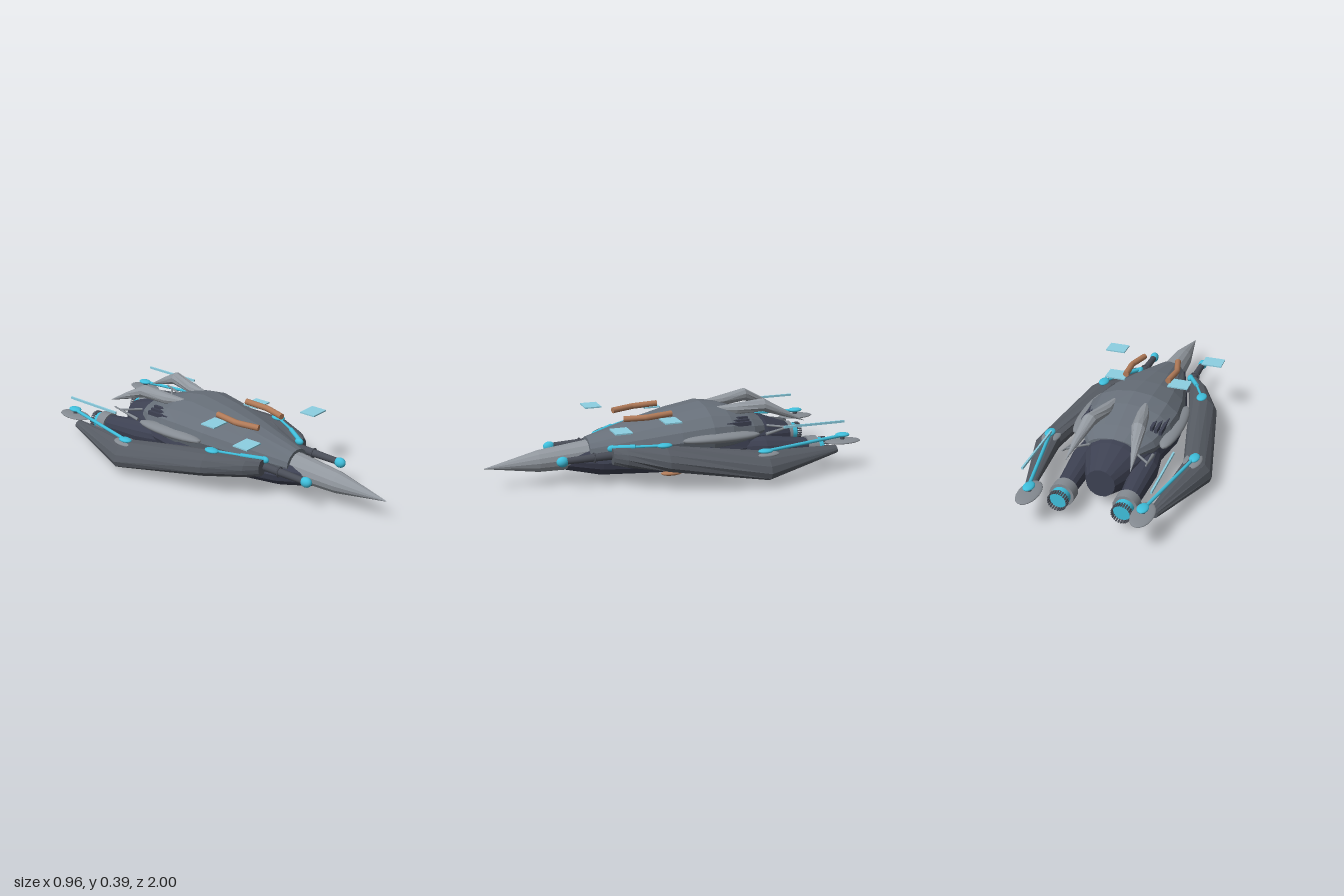
import * as THREE from 'three';

const mat = (color, flatShading = true) => new THREE.MeshStandardMaterial({ color, flatShading, roughness: 0.7 });
const shell = mat(0x68707a), dark = mat(0x3d4152), armour = mat(0x565b63), light = mat(0x92989f);
const smoothGrey = mat(0x858b92, false), gunMetal = mat(0x4a4e58, false);
const cyan = mat(0x3fbfdc, false), glass = mat(0x8ccfe2), copper = mat(0xb07a58, false);

// Skin over elliptical sections [x, y, z, rx, ry, tilt], listed from front to back
function loft(sections, n, side = 1) {
  const pos = [], index = [], rows = sections.length;
  for (const [x, y, z, rx, ry, tilt = 0] of sections) {
    const c = Math.cos(tilt * side), s = Math.sin(tilt * side);
    for (let j = 0; j < n; j++) {
      const a = (j / n) * Math.PI * 2, u = rx * Math.cos(a), v = ry * Math.sin(a);
      pos.push(x * side + u * c - v * s, y + u * s + v * c, z);
    }
  }
  for (const k of [0, rows - 1]) pos.push(sections[k][0] * side, sections[k][1], sections[k][2]);
  for (let j = 0; j < n; j++) {
    const k = (j + 1) % n, last = (rows - 1) * n;
    for (let i = 0; i < rows - 1; i++) {
      const a = i * n + j, b = i * n + k;
      index.push(a, a + n, b, b, a + n, b + n);
    }
    index.push(rows * n, j, k, rows * n + 1, last + k, last + j);
  }
  const g = new THREE.BufferGeometry();
  g.setAttribute('position', new THREE.Float32BufferAttribute(pos, 3));
  g.setIndex(index);
  g.computeVertexNormals();
  return g;
}

// Section of the centre body, given by its bottom and top heights
const band = (z, rx, bottom, top) => [0, (bottom + top) / 2, z, rx, (top - bottom) / 2];

export function createModel() {
  const model = new THREE.Group();
  const add = (name, geometry, material, x = 0, y = 0, z = 0) => {
    const m = new THREE.Mesh(geometry, material);
    m.name = name;
    m.position.set(x, y, z);
    model.add(m);
    return m;
  };
  const pod = (name, material, p, r) =>
    add(name, new THREE.SphereGeometry(1, 20, 12), material, ...p).scale.set(...r);
  const rod = (name, material, a, b, r, r2 = r, n = 12) => {
    const from = new THREE.Vector3(...a), to = new THREE.Vector3(...b), d = to.clone().sub(from);
    const m = add(name, new THREE.CylinderGeometry(r2, r, d.length(), n), material);
    m.position.copy(from).add(to).multiplyScalar(0.5);
    m.quaternion.setFromUnitVectors(new THREE.Vector3(0, 1, 0), d.normalize());
    return m;
  };

  // Centre body
  add('noseCone', loft([
    [0, 0.115, 1, 0.001, 0.001], [0, 0.128, 0.72, 0.054, 0.057], [0, 0.142, 0.44, 0.073, 0.076],
  ], 14), light);
  add('lowerHull', loft([
    band(0.58, 0.055, 0.068, 0.175), band(0.4, 0.12, 0.026, 0.2), band(0.1, 0.205, 0.013, 0.235),
    band(-0.15, 0.245, 0.006, 0.28), band(-0.38, 0.205, 0.002, 0.29), band(-0.53, 0.15, 0, 0.27),
    band(-0.69, 0.075, 0.06, 0.21),
  ], 16), dark);
  add('upperShell', loft([
    band(0.46, 0.085, 0.09, 0.232), band(0.2, 0.17, 0.08, 0.302), band(0, 0.225, 0.08, 0.347),
    band(-0.17, 0.25, 0.08, 0.374), band(-0.28, 0.24, 0.1, 0.358), band(-0.42, 0.195, 0.13, 0.31),
    band(-0.5, 0.14, 0.16, 0.275),
  ], 16), shell);

  for (const s of [1, -1]) {
    // Bent outrigger arm with its joint discs
    add('sideArm', loft([
      [0.175, 0.165, 0.37, 0.03, 0.045], [0.21, 0.163, 0.31, 0.052, 0.052],
      [0.29, 0.162, 0.12, 0.082, 0.06, -0.4], [0.405, 0.106, -0.39, 0.085, 0.057, -0.7],
      [0.315, 0.125, -0.84, 0.025, 0.018, -0.4],
    ], 12, s), armour);
    pod('tailDisc', smoothGrey, [0.285 * s, 0.155, -0.895], [0.056, 0.011, 0.105]);
    pod('elbowDisc', smoothGrey, [0.38 * s, 0.16, -0.39], [0.047, 0.014, 0.082]);
    pod('armLens', smoothGrey, [0.312 * s, 0.197, 0.03], [0.022, 0.007, 0.035]);
    pod('tailLight', cyan, [0.285 * s, 0.19, -0.893], [0.028, 0.012, 0.041]);
    pod('elbowLight', cyan, [0.388 * s, 0.178, -0.39], [0.026, 0.012, 0.041]);
    pod('shoulderLight', cyan, [0.28 * s, 0.229, 0.125], [0.027, 0.012, 0.041]);
    rod('tailLightStem', gunMetal, [0.285 * s, 0.155, -0.893], [0.285 * s, 0.19, -0.893], 0.012);
    rod('armEnergyLine', cyan, [0.386 * s, 0.176, -0.39], [0.288 * s, 0.187, -0.89], 0.009);

    // Nose gun and its energy feed
    rod('gunBarrel', gunMetal, [0.148 * s, 0.165, 0.3], [0.148 * s, 0.158, 0.61], 0.024, 0.017);
    add('gunRing', new THREE.TorusGeometry(0.024, 0.004, 6, 20), gunMetal, 0.148 * s, 0.161, 0.46);
    pod('gunTip', cyan, [0.148 * s, 0.156, 0.625], [0.024, 0.027, 0.032]);
    rod('gunFeed', cyan, [0.148 * s, 0.205, 0.37], [0.215 * s, 0.218, 0.26], 0.012);
    rod('feedLine', cyan, [0.215 * s, 0.218, 0.26], [0.28 * s, 0.229, 0.125], 0.007);
    pod('feedJoint', cyan, [0.148 * s, 0.2, 0.365], [0.016, 0.018, 0.025]);

    // Engine nacelle, collar, glowing core and toothed rim
    add('nacelle', loft([
      [0.15, 0.13, -0.3, 0.05, 0.06], [0.16, 0.12, -0.48, 0.068, 0.07], [0.162, 0.103, -0.75, 0.05, 0.05],
    ], 14, s), dark);
    rod('engineCollar', smoothGrey, [0.162 * s, 0.1, -0.735], [0.162 * s, 0.1, -0.795], 0.063, 0.063, 24);
    rod('engineCore', cyan, [0.162 * s, 0.1, -0.79], [0.162 * s, 0.1, -0.832], 0.048, 0.048, 24);
    for (let i = 0; i < 24; i++) {
      const a = (i / 24) * Math.PI * 2;
      add('engineTooth', new THREE.BoxGeometry(0.006, 0.008, 0.028), gunMetal,
        0.162 * s + 0.048 * Math.cos(a), 0.1 + 0.048 * Math.sin(a), -0.841).rotation.z = a;
    }

    // Dorsal horn
    add('dorsalHorn', loft([
      [0.075, 0.342, -0.2, 0.008, 0.008], [0.1, 0.338, -0.34, 0.034, 0.03],
      [0.128, 0.354, -0.49, 0.037, 0.036, -0.3], [0.15, 0.304, -0.61, 0.02, 0.021],
      [0.165, 0.256, -0.72, 0.001, 0.001],
    ], 10, s), light);

    // Flank blister, vent slats and rear strut
    pod('flankBlister', smoothGrey, [0.232 * s, 0.225, -0.21], [0.048, 0.026, 0.22]);
    for (let i = 0; i < 3; i++)
      add('ventSlat', new THREE.BoxGeometry(0.015, 0.022, 0.14), dark, (0.16 + i * 0.023) * s, 0.297 - i * 0.008, -0.315);
    rod('rearStrut', smoothGrey, [0.2 * s, 0.21, -0.48], [0.215 * s, 0.25, -0.64], 0.009, 0.004);
    rod('rearBrace', smoothGrey, [0.12 * s, 0.235, -0.52], [0.21 * s, 0.24, -0.6], 0.006);

    // Copper pipe and belly pod
    const bend = new THREE.CurvePath();
    const p = [[0.118, 0.35, 0.03], [0.128, 0.342, 0.165], [0.097, 0.336, 0.285]]
      .map(([x, y, z]) => new THREE.Vector3(x * s, y, z));
    bend.add(new THREE.LineCurve3(p[0], p[1]));
    bend.add(new THREE.LineCurve3(p[1], p[2]));
    add('copperPipe', new THREE.TubeGeometry(bend, 16, 0.016, 12), copper);
    for (const end of [0, 2])
      rod('pipeCap', copper, p[end].toArray(), p[end].clone().lerp(p[1], 0.02).toArray(), 0.016);
    pod('bellyPod', copper, [0.168 * s, 0.041, 0.045], [0.029, 0.013, 0.06]);

    // Floating panels and bars
    add('outerPanel', new THREE.BoxGeometry(0.11, 0.007, 0.09), glass, 0.28 * s, 0.326, 0.355);
    add('innerPanel', new THREE.BoxGeometry(0.11, 0.007, 0.09), glass, 0.175 * s, 0.326, 0.055);
    add('floatingBar', new THREE.BoxGeometry(0.009, 0.012, 0.355), glass, 0.32 * s, 0.275, -0.702);
  }
  return model;
}
